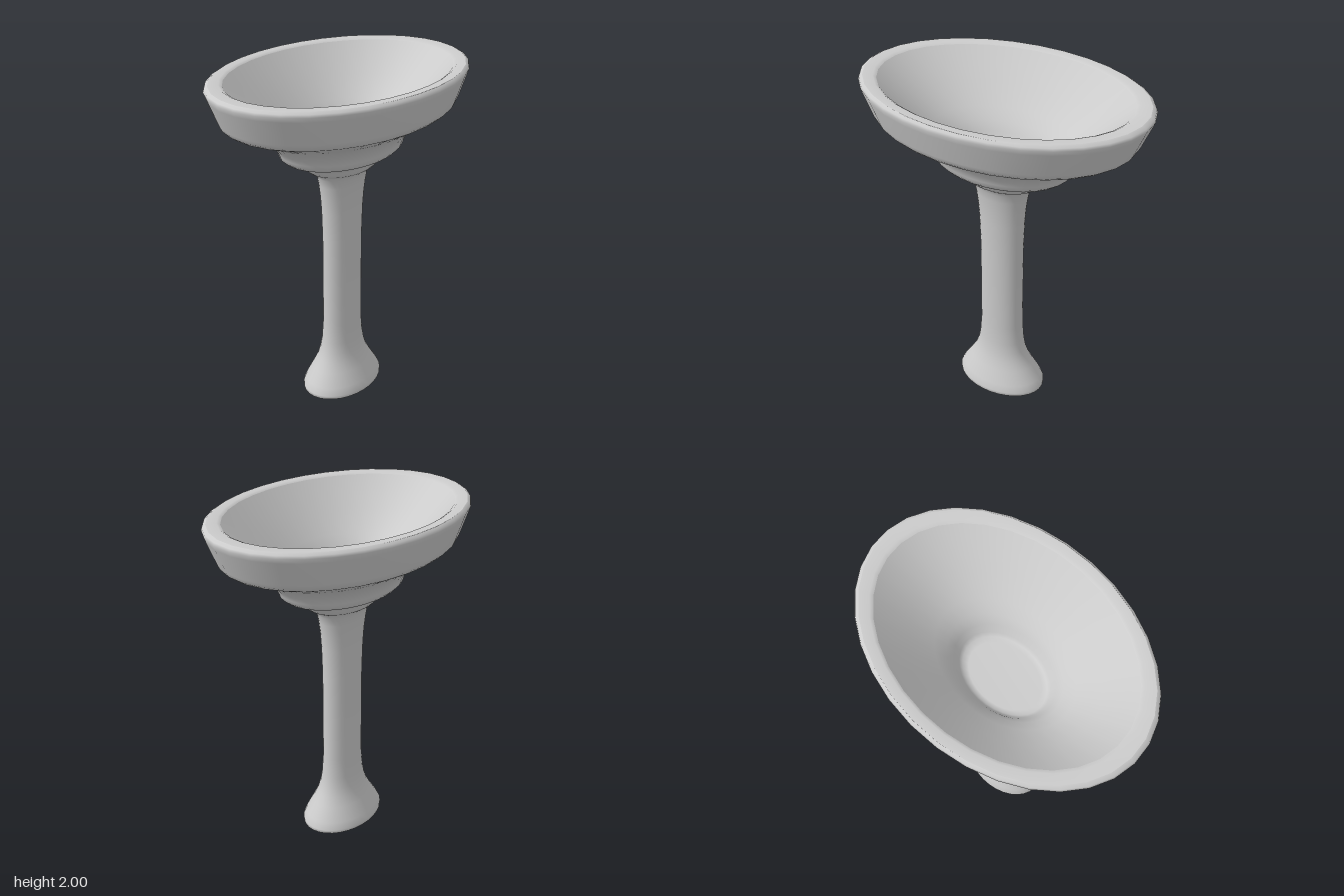
import * as THREE from 'three';

const SIDES = 32;
const DEPTH = 1.4; // every cross-section is an ellipse, longer in z

const material = new THREE.MeshStandardMaterial({ color: 0xcccccc });

// Elliptical turned part from [radius, height] pairs
function turned(name, profile) {
  const geometry = new THREE.LatheGeometry(profile.map(([r, y]) => new THREE.Vector2(r, y)), SIDES);
  geometry.scale(1, 1, DEPTH);
  const mesh = new THREE.Mesh(geometry, material);
  mesh.name = name;
  return mesh;
}

export function createModel() {
  const group = new THREE.Group();
  group.name = 'pedestalBasin';

  // Flat underside of the foot
  group.add(turned('footUnderside', [[0, 0], [0.195, 0.005]]));

  // Flared foot and slender column
  group.add(turned('pedestal', [
    [0.195, 0.005], [0.206, 0.015], [0.206, 0.035], [0.19, 0.075], [0.152, 0.155],
    [0.13, 0.21], [0.116, 0.265], [0.107, 0.33], [0.1, 0.45], [0.099, 0.75],
    [0.099, 1.0], [0.103, 1.18], [0.108, 1.27], [0.116, 1.35], [0.124, 1.4], [0.138, 1.427],
  ]));

  // Stepped outside of the basin, up to the rim
  group.add(turned('basinOutside', [
    [0.138, 1.427], [0.165, 1.445], [0.18, 1.462], [0.187, 1.48], [0.2, 1.5],
    [0.245, 1.522], [0.282, 1.538], [0.299, 1.557], [0.305, 1.58], [0.316, 1.61],
    [0.34, 1.645], [0.37, 1.677], [0.41, 1.705], [0.495, 1.752], [0.54, 1.777],
    [0.558, 1.795], [0.568, 1.82], [0.608, 1.95], [0.615, 1.975], [0.611, 1.99], [0.596, 2],
  ]));

  // Flat rim
  group.add(turned('rim', [[0.596, 2], [0.55, 2], [0.535, 1.99]]));

  // Funnel-shaped bowl with a flat floor
  group.add(turned('bowlInside', [
    [0.535, 1.99], [0.4, 1.83], [0.3, 1.72], [0.25, 1.66], [0.22, 1.61],
    [0.2, 1.565], [0.185, 1.545], [0.16, 1.535], [0, 1.535],
  ]));

  return group;
}
